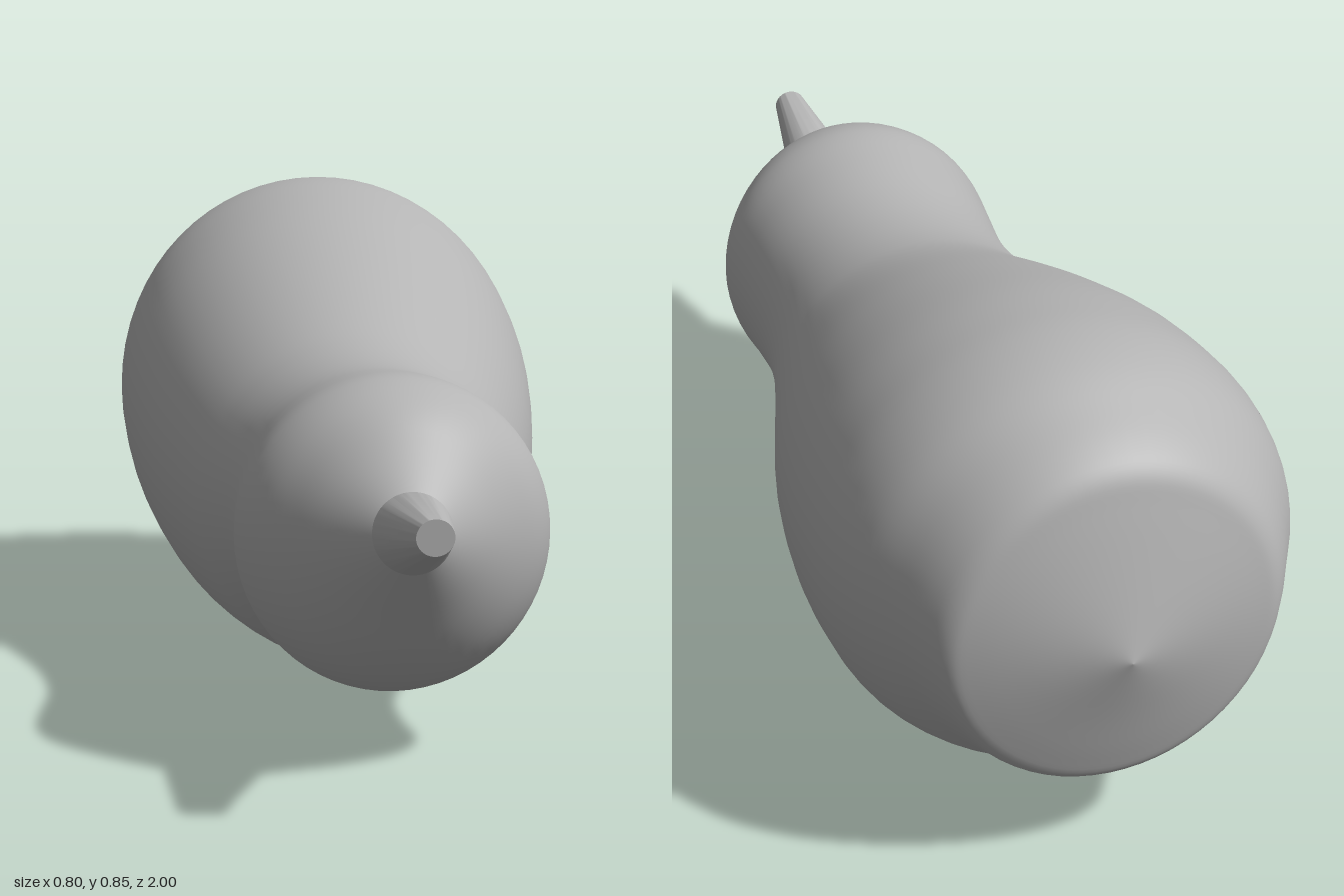
import * as THREE from 'three';
import { toCreasedNormals } from 'three/addons/utils/BufferGeometryUtils.js';

const SIDES = 64;

// Skin oval sections listed from front to back: [z, top, bottom, half width, tilt]
function loft(sections, steps) {
  const mix = (k, t) => {
    const at = (i) => sections[Math.min(Math.max(i, 0), sections.length - 1)];
    return at(k).map((b, n) => {
      const a = at(k - 1)[n], c = at(k + 1)[n], d = at(k + 2)[n];
      return steps === 1 ? b : b + 0.5 * t * (c - a + t * (2 * a - 5 * b + 4 * c - d + t * (3 * (b - c) + d - a)));
    });
  };
  const rings = [];
  for (let k = 0; k < sections.length - 1; k++) {
    for (let s = 0; s < steps; s++) rings.push(mix(k, s / steps));
  }
  rings.push(sections[sections.length - 1]);

  const position = [], index = [];
  rings.forEach(([z, top, bottom, w, tilt], i) => {
    for (let j = 0; j < SIDES; j++) {
      const a = (j / SIDES) * Math.PI * 2, s = Math.sin(a);
      position.push(w * Math.cos(a), (top + bottom) / 2 + ((top - bottom) / 2) * s, z - tilt * s);
      if (i === rings.length - 1) continue;
      const p = i * SIDES + j, q = i * SIDES + ((j + 1) % SIDES);
      index.push(p, p + SIDES, q, q, p + SIDES, q + SIDES);
    }
  });
  const geometry = new THREE.BufferGeometry();
  geometry.setAttribute('position', new THREE.Float32BufferAttribute(position, 3));
  geometry.setIndex(index);
  geometry.computeVertexNormals();
  return geometry;
}

export function createModel() {
  const group = new THREE.Group();
  const grey = new THREE.MeshStandardMaterial({ color: 0xb4b4b4, side: THREE.DoubleSide });
  grey.name = 'plain grey';

  // Bulbous body: rounded head, narrow neck, swelling belly, shallow pointed end
  const body = new THREE.Mesh(loft([
    [0.753, 0.507, 0.383, 0.063, 0.013],
    [0.70, 0.555, 0.30, 0.125, 0.008],
    [0.65, 0.605, 0.22, 0.18, 0.003],
    [0.60, 0.637, 0.163, 0.228, 0],
    [0.55, 0.655, 0.13, 0.256, 0],
    [0.50, 0.659, 0.119, 0.265, 0],
    [0.42, 0.65, 0.126, 0.258, 0],
    [0.30, 0.634, 0.123, 0.25, 0],
    [0.20, 0.631, 0.104, 0.258, 0],
    [0.10, 0.642, 0.067, 0.28, 0],
    [0, 0.67, 0.03, 0.308, 0],
    [-0.20, 0.748, 0.004, 0.36, 0],
    [-0.40, 0.815, 0.008, 0.392, 0],
    [-0.55, 0.847, 0.028, 0.4, 0],
    [-0.65, 0.856, 0.052, 0.396, 0],
    [-0.74, 0.846, 0.093, 0.375, 0],
    [-0.82, 0.815, 0.143, 0.336, 0],
    [-0.88, 0.785, 0.166, 0.305, 0],
    [-0.917, 0.752, 0.18, 0.278, 0],
    [-0.935, 0.70, 0.225, 0.238, 0],
    [-0.965, 0.59, 0.335, 0.14, 0],
    [-1, 0.455, 0.455, 0, 0],
  ], 5), grey);
  body.name = 'body';

  // Tapered spout with a flat tip and a tilted base
  const spout = new THREE.Mesh(toCreasedNormals(loft([
    [1, 0.493, 0.493, 0, 0],
    [1, 0.522, 0.464, 0.03, 0],
    [0.753, 0.509, 0.379, 0.066, 0.013],
    [0.74, 0.50, 0.39, 0.055, 0.013],
  ], 1), 0.6), grey);
  spout.name = 'spout';

  group.add(body, spout);
  return group;
}
